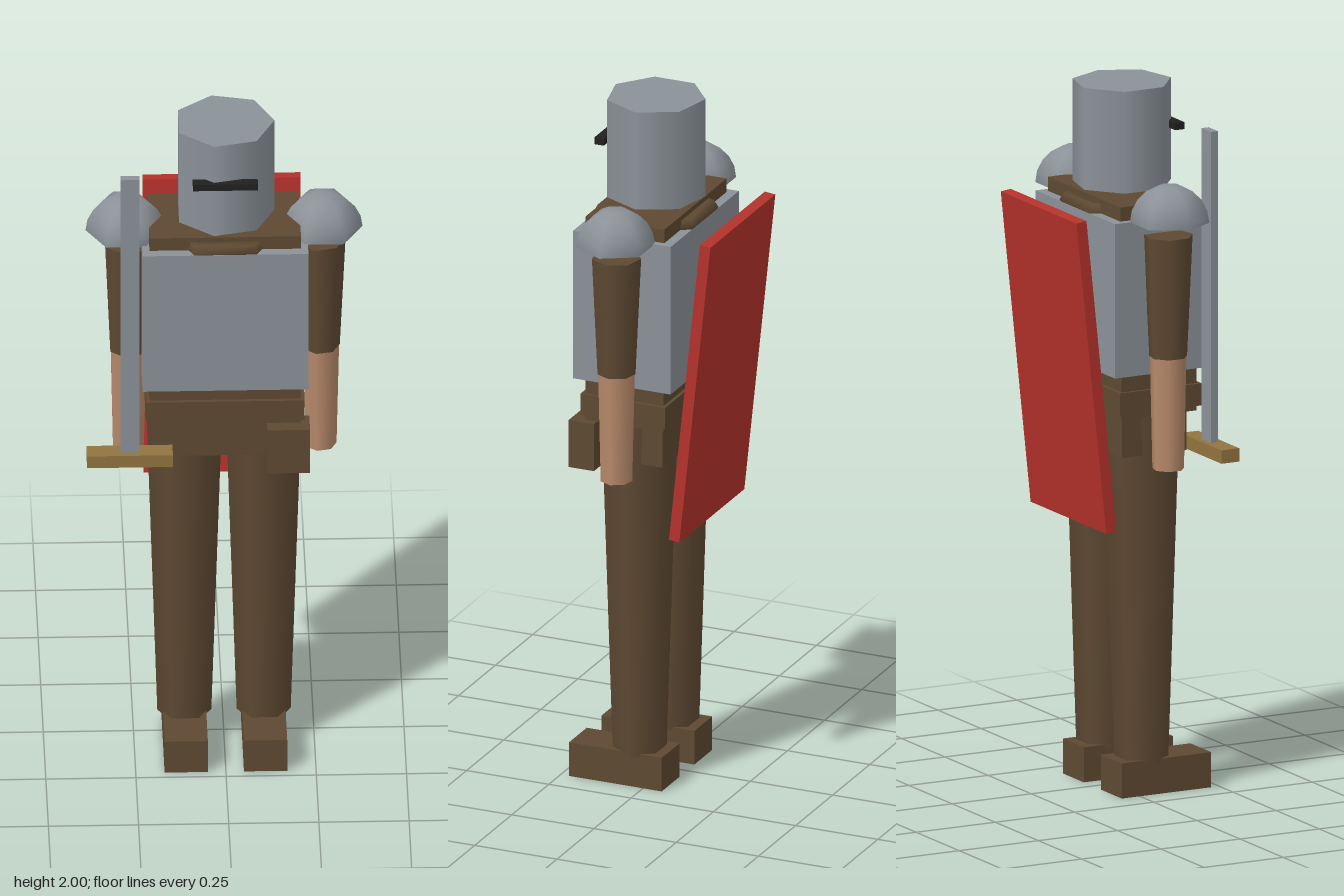
import * as THREE from 'three';

const paint = (name, color) => {
  const m = new THREE.MeshStandardMaterial({ color });
  m.name = name;
  return m;
};

export function createModel() {
  const leather = paint('leather brown', 0x5e4932);
  const steel = paint('steel grey', 0x8b9298);
  const skin = paint('skin', 0xb88a6b);
  const red = paint('shield red', 0xb5322c);
  const brass = paint('brass', 0x92743f);
  const black = paint('visor black', 0x202020);
  steel.side = THREE.DoubleSide; // the shoulder domes are open below

  const model = new THREE.Group();
  model.name = 'armouredGuard';
  const MID = 0.037; // depth of the body's centre line

  const add = (name, geometry, material, x = 0, y = 0, z = MID) => {
    const mesh = new THREE.Mesh(geometry, material);
    mesh.name = name;
    mesh.position.set(x, y, z);
    model.add(mesh);
    return mesh;
  };
  // Box given by its extents on each axis
  const box = (name, material, [x0, x1], [y0, y1], [z0, z1]) =>
    add(name, new THREE.BoxGeometry(x1 - x0, y1 - y0, z1 - z0), material,
      (x0 + x1) / 2, (y0 + y1) / 2, (z0 + z1) / 2);
  // Upright tapered prism with a corner on +x
  const post = (name, material, x, [y0, y1], rTop, rBottom, sides) =>
    add(name, new THREE.CylinderGeometry(rTop, rBottom, y1 - y0, sides, 1, false, Math.PI / 2),
      material, x, (y0 + y1) / 2);

  // Head
  post('helmet', steel, 0, [1.71, 2], 0.14, 0.14, 7);
  box('visorSlit', black, [-0.09, 0.09], [1.863, 1.883], [0.155, 0.184]);
  post('neck', skin, 0, [1.66, 1.74], 0.05, 0.05, 7);

  // Trunk
  box('shoulderYoke', leather, [-0.21, 0.21], [1.65, 1.695], [-0.083, 0.157]);
  const collar = add('collar', new THREE.TorusGeometry(0.15, 0.024, 6, 6), leather, 0, 1.66);
  collar.rotation.x = Math.PI / 2;
  box('breastplate', steel, [-0.23, 0.23], [1.215, 1.655], [-0.111, 0.186]);
  box('waist', leather, [-0.21, 0.21], [1.09, 1.22], [-0.08, 0.157]);
  box('belt', leather, [-0.22, 0.22], [1.105, 1.168], [-0.09, 0.168]);
  box('hips', leather, [-0.19, 0.19], [0.975, 1.1], [-0.068, 0.137]);
  box('beltPouch', leather, [0.115, 0.234], [0.95, 1.09], [0.12, 0.197]);

  // Arms and legs
  for (const [side, s] of [['left', 1], ['right', -1]]) {
    add(side + 'ShoulderGuard',
      new THREE.SphereGeometry(0.11, 6, 5, 0, Math.PI * 2, 0, Math.PI / 2), steel, s * 0.274, 1.652);
    post(side + 'UpperArm', leather, s * 0.267, [1.27, 1.615], 0.07, 0.054, 7);
    post(side + 'Forearm', skin, s * 0.267, [0.95, 1.27], 0.052, 0.045, 7);
    post(side + 'Leg', leather, s * 0.11, [0.09, 1.09], 0.106, 0.075, 6);
    const inner = s * 0.05, outer = s * 0.17;
    box(side + 'Boot', leather, [Math.min(inner, outer), Math.max(inner, outer)], [0, 0.1], [-0.057, 0.225]);
  }

  // Sword held upright in front of the right arm
  box('swordBlade', steel, [-0.291, -0.238], [1.01, 1.9], [0.158, 0.18]);
  box('swordGuard', brass, [-0.384, -0.146], [0.976, 1.014], [0.141, 0.197]);

  // Shield leaning away from the back
  const shield = add('backShield', new THREE.BoxGeometry(0.438, 0.9, 0.032), red, 0, 1.222, -0.164);
  shield.rotation.x = -0.105;

  return model;
}
